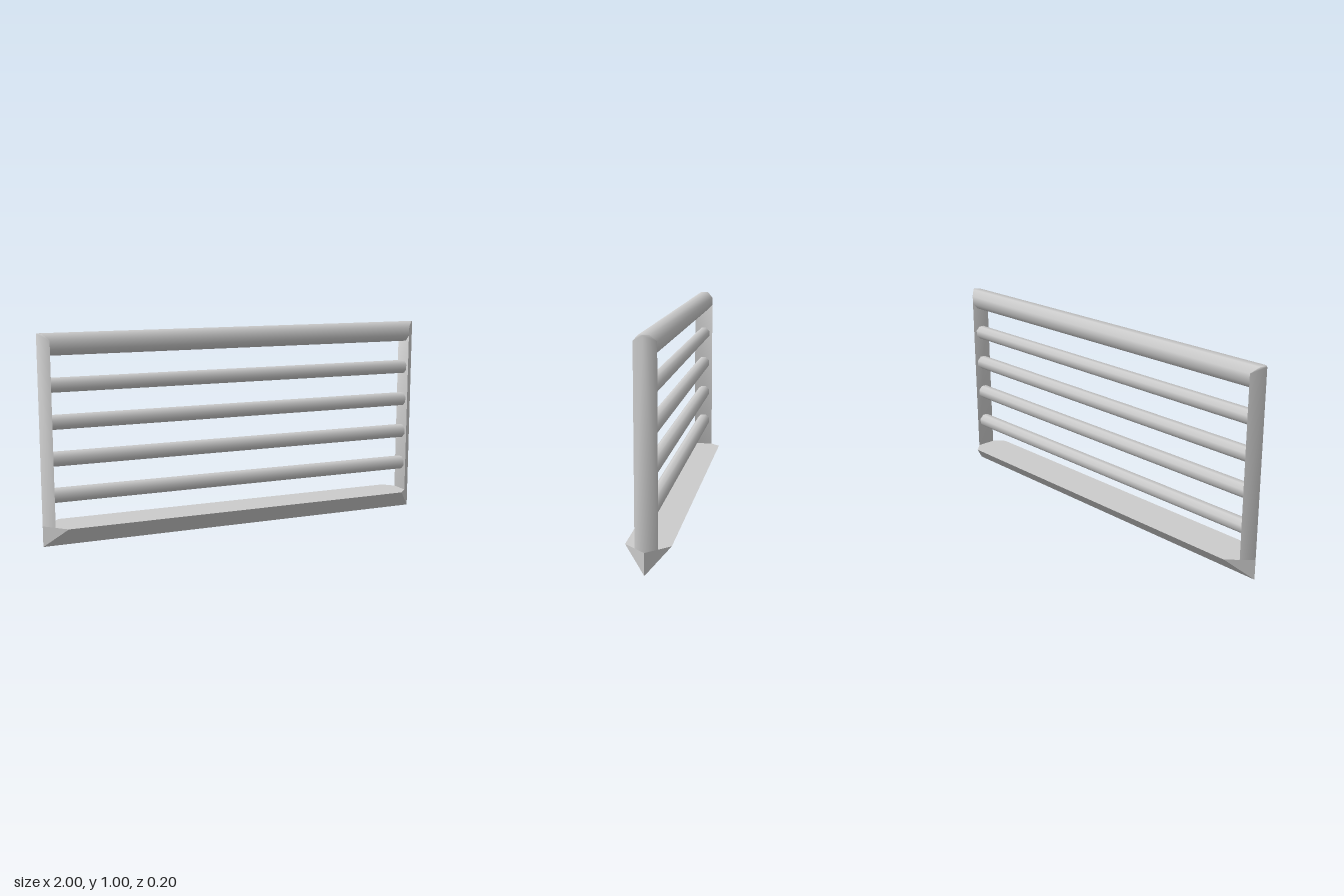
import * as THREE from 'three';
import { ConvexGeometry } from 'three/addons/geometries/ConvexGeometry.js';
import { toCreasedNormals } from 'three/addons/utils/BufferGeometryUtils.js';

const SIDES = 8;
const material = new THREE.MeshStandardMaterial({ color: 0xcccccc });

function add(group, name, geometry) {
  const mesh = new THREE.Mesh(geometry, material);
  mesh.name = name;
  group.add(mesh);
  return mesh;
}

// Smooth octagonal bar along x, flat side up; r is measured to the flats.
function bar(r, length) {
  const radius = r / Math.cos(Math.PI / SIDES);
  const geometry = new THREE.CylinderGeometry(radius, radius, length, SIDES, 1, true, Math.PI / SIDES);
  return geometry.rotateZ(Math.PI / 2);
}

function hull(points) {
  return new ConvexGeometry(points.map(p => new THREE.Vector3(...p)));
}

export function createModel() {
  const group = new THREE.Group();
  group.name = 'slattedPanel';

  // Top rail, its ends mitred to a point in plan
  const railGeometry = bar(0.05, 2);
  const pos = railGeometry.attributes.position;
  for (let i = 0; i < pos.count; i++) {
    pos.setX(i, Math.sign(pos.getX(i)) * (1 - Math.abs(pos.getZ(i))));
  }
  add(group, 'topRail', railGeometry).position.y = 0.95;

  // Four slats between the posts
  for (let i = 0; i < 4; i++) {
    add(group, 'slat', bar(0.033, 1.92)).position.y = 0.243 + i * 0.173;
  }

  // V-shaped sill with pointed ends
  const sill = [];
  for (const s of [-1, 1]) {
    sill.push([s, 0, 0], [s, 0.1, 0], [s * 0.9, 0.1, 0.1], [s * 0.9, 0.1, -0.1]);
  }
  add(group, 'sill', hull(sill));

  // Wedge-shaped posts, smooth over the outer ridge
  for (const s of [-1, 1]) {
    const post = [[s, 0, 0], [s, 1, 0]];
    for (const f of [-1, 1]) {
      post.push([s * 0.95, 0.1, f * 0.05], [s * 0.95, 0.971, f * 0.05], [s * 0.979, 1, f * 0.021]);
    }
    add(group, s > 0 ? 'leftPost' : 'rightPost', toCreasedNormals(hull(post), 1.6));
  }
  return group;
}
